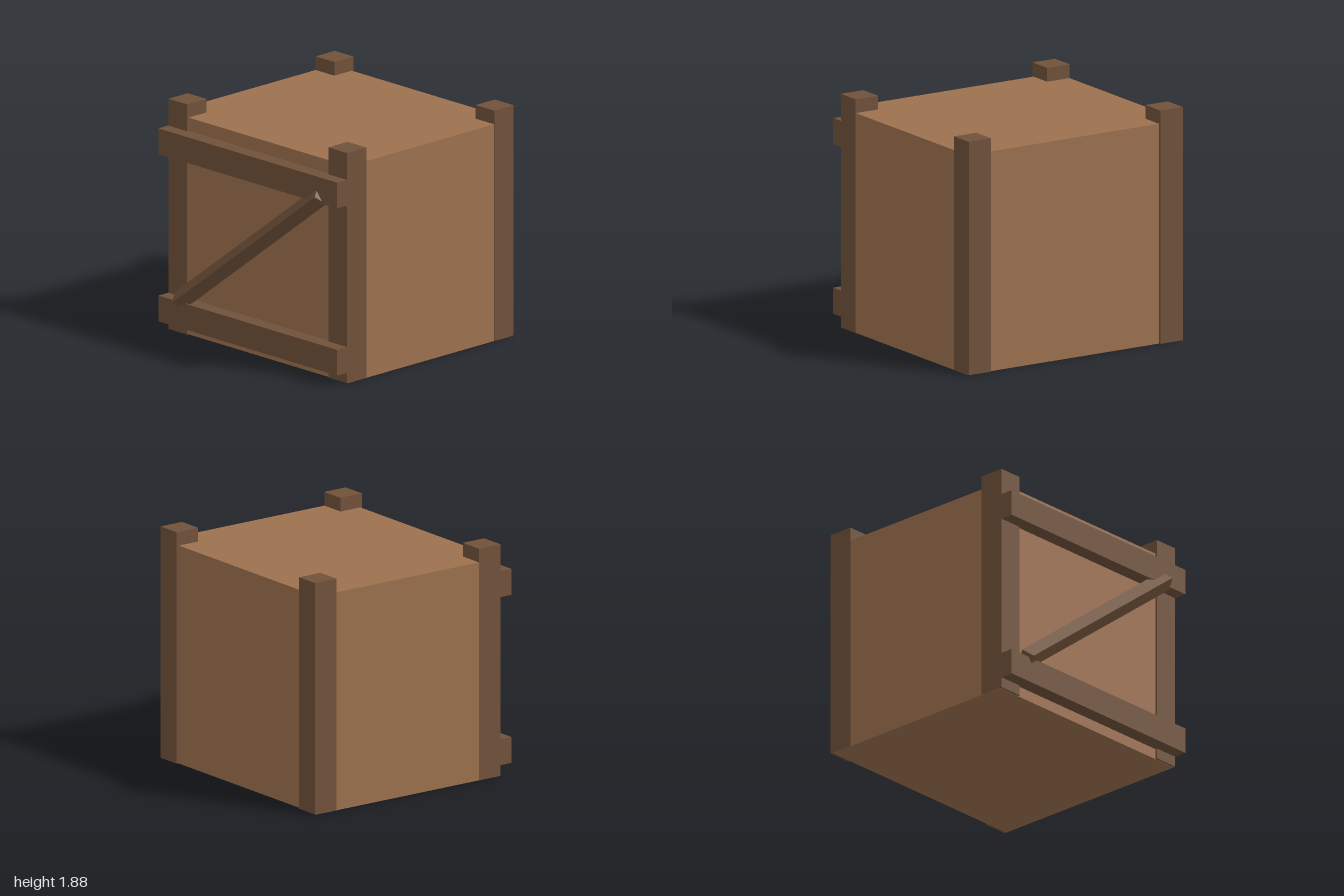
import * as THREE from 'three';

export function createModel() {
  const crate = new THREE.Group();
  crate.name = 'woodenCrate';

  const panelWood = new THREE.MeshStandardMaterial({ color: 0x9c704e });
  const frameWood = new THREE.MeshStandardMaterial({ color: 0x70513a });

  const BEAM = 0.21; // square section of posts and rails

  const addBox = (name, material, size, position) => {
    const mesh = new THREE.Mesh(new THREE.BoxGeometry(...size), material);
    mesh.name = name;
    mesh.position.set(...position);
    crate.add(mesh);
    return mesh;
  };

  // Solid body of the crate
  addBox('body', panelWood, [1.997, 1.77, 1.775], [0, 0.885, -0.077]);

  // Corner posts, standing proud of the lid
  for (const [side, x] of [['left', 0.895], ['right', -0.895]]) {
    for (const [end, z] of [['Front', 0.722], ['Back', -0.88]]) {
      addBox(`${side}${end}Post`, frameWood, [BEAM, 1.879, BEAM], [x, 0.9415, z]);
    }
  }

  // Horizontal rails across the front
  addBox('lowerRail', frameWood, [2, BEAM, BEAM], [0, 0.192, 0.83]);
  addBox('upperRail', frameWood, [2, BEAM, BEAM], [0, 1.557, 0.83]);

  // Diagonal brace: a square bar turned on edge, then tilted
  const brace = addBox('diagonalBrace', frameWood, [2.01, 0.111, 0.111], [0, 0.9, 0.906]);
  brace.geometry.rotateX(Math.PI / 4);
  brace.rotation.z = Math.atan2(1.22, 1.6);

  return crate;
}
